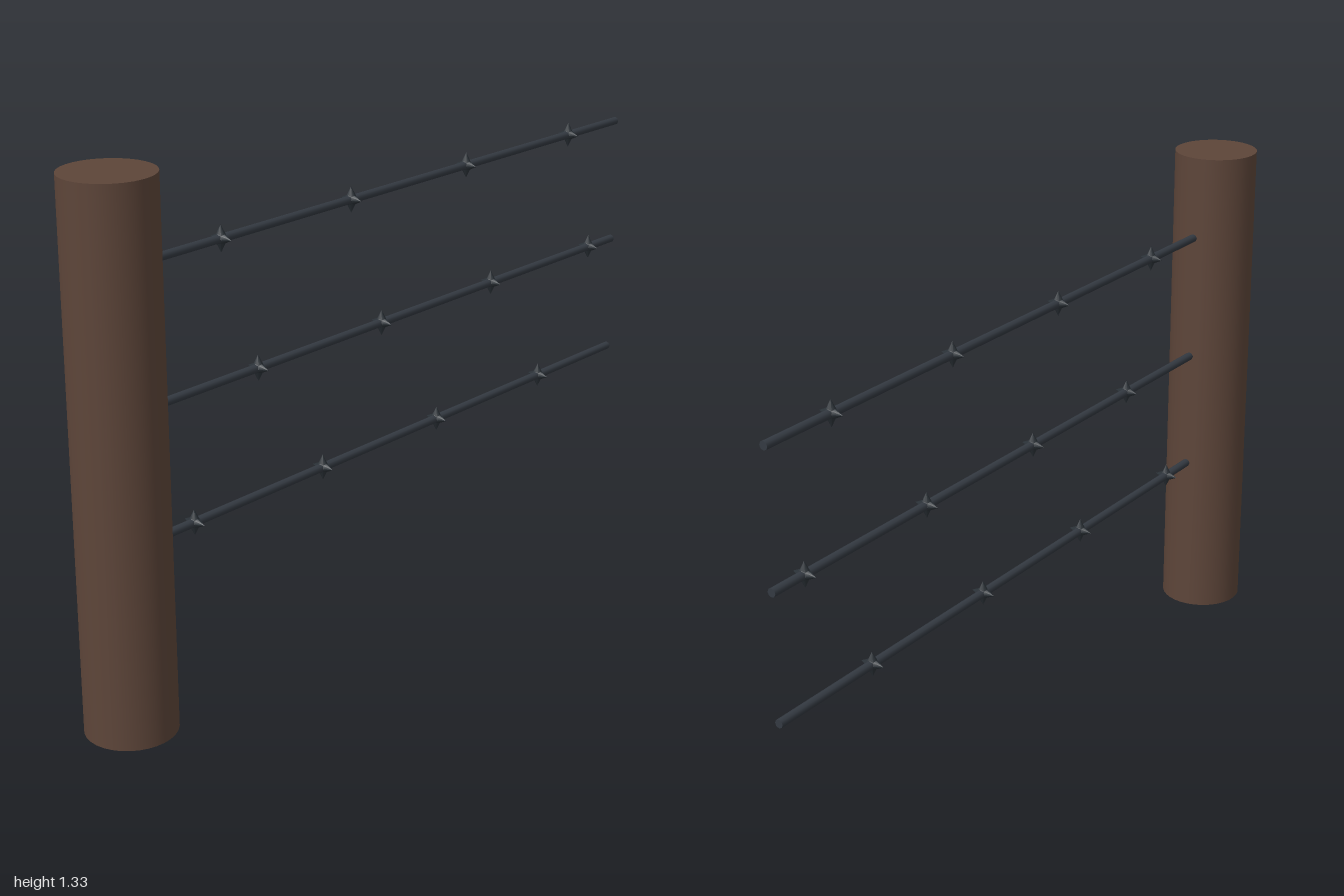
import * as THREE from 'three';

export function createModel() {
  const model = new THREE.Group();
  const wood = new THREE.MeshStandardMaterial({ color: 0x5d4539 });
  wood.name = 'brown wood';
  const iron = new THREE.MeshStandardMaterial({ color: 0x343a42 });
  iron.name = 'dark iron';
  const barbIron = new THREE.MeshStandardMaterial({ color: 0x2b3238 });
  barbIron.name = 'darker iron';

  const add = (parent, name, geometry, material, x, y) => {
    const mesh = new THREE.Mesh(geometry, material);
    mesh.name = name;
    mesh.position.set(x, y, 0);
    parent.add(mesh);
    return mesh;
  };

  // Round post at the right end
  add(model, 'post', new THREE.CylinderGeometry(0.111, 0.111, 1.333, 32), wood, -0.889, 0.6665);

  // Straight wire running along x, from the post surface outwards
  const start = -0.782, length = 1 - start;
  const wireGeometry = new THREE.CylinderGeometry(0.011, 0.011, length, 8).rotateZ(Math.PI / 2);

  // Barb spike: a cone, four of which make a star around the wire
  const spikeGeometry = new THREE.ConeGeometry(0.016, 0.033, 8).translate(0, 0.0165, 0);

  // Three strands, each with its own height and first barb position
  const strands = [
    { name: 'topWire', y: 1.111, first: -0.556 },
    { name: 'middleWire', y: 0.769, first: -0.444 },
    { name: 'bottomWire', y: 0.446, first: -0.667 },
  ];
  for (const { name, y, first } of strands) {
    const strand = new THREE.Group();
    strand.name = name;
    model.add(strand);
    add(strand, 'wire', wireGeometry, iron, start + length / 2, y);

    for (let i = 0; i < 4; i++) {
      const barb = new THREE.Group();
      barb.name = 'barb';
      barb.position.set(first + i * 0.4445, y, 0);
      strand.add(barb);
      for (let k = 0; k < 4; k++) {
        add(barb, 'spike', spikeGeometry, barbIron, 0, 0).rotation.x = k * Math.PI / 2;
      }
    }
  }
  return model;
}
